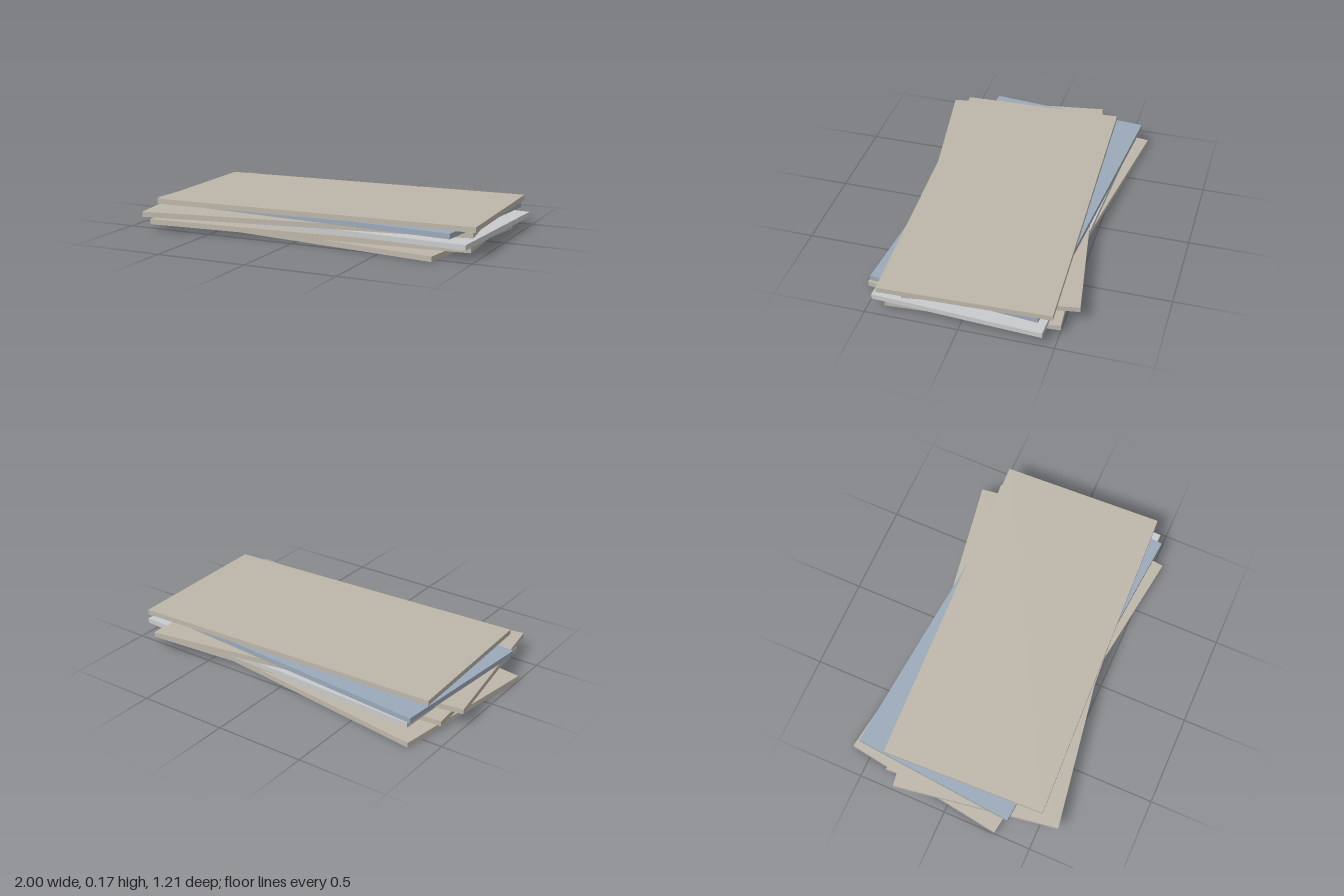
import * as THREE from 'three';

export function createModel() {
  const model = new THREE.Group();
  model.name = 'slabStack';

  const material = (name, color) => {
    const m = new THREE.MeshStandardMaterial({ color });
    m.name = name;
    return m;
  };
  const stone = material('warm stone', 0xbdb6a9);
  const pale = material('pale grey', 0xc8cacc);
  const blue = material('slate blue', 0x9aa9b9);

  // One slab size, stacked with a small twist and shift on each layer
  const thickness = 0.0282;
  const slab = new THREE.BoxGeometry(1.82, thickness, 0.91);

  // name, material, centre x, centre z, turn about y; bottom to top
  const layers = [
    ['bottomSlab', stone, -0.032, -0.027, -0.141],
    ['secondSlab', stone, 0.018, 0.012, 0.069],
    ['paleSlab', pale, 0.07, -0.028, -0.052],
    ['fourthSlab', stone, -0.03, 0.012, 0.157],
    ['blueSlab', blue, 0.015, -0.03, -0.088],
    ['topSlab', stone, 0.065, 0.011, 0.037],
  ];

  layers.forEach(([name, mat, x, z, turn], i) => {
    const mesh = new THREE.Mesh(slab, mat);
    mesh.name = name;
    mesh.position.set(x, (i + 0.5) * thickness, z);
    mesh.rotation.y = turn;
    model.add(mesh);
  });

  return model;
}
